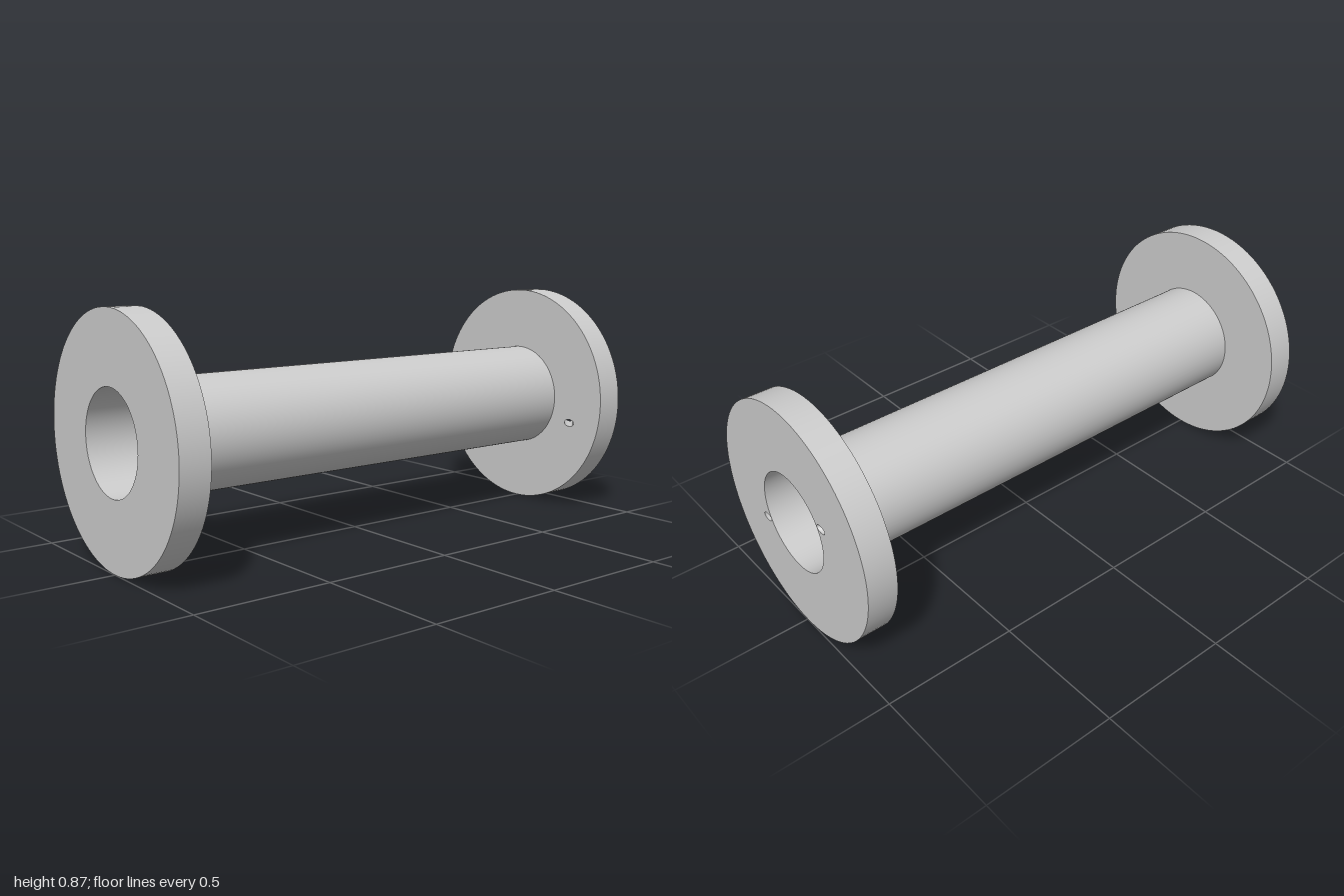
import * as THREE from 'three';

const R = 0.437, TUBE = 0.2, BORE = 0.183;   // radii
const END = 1, INNER = 0.89;                 // flange outer and inner faces along x
const HOLE_Y = 0.0915, HOLE_OUT = 0.187, HOLE_IN = 0.28, HOLE_RZ = 0.024, HOLE_RY = 0.014;

export function createModel() {
  const model = new THREE.Group();
  const spool = new THREE.Group();
  spool.name = 'spool';
  spool.position.y = R;
  model.add(spool);
  const mat = new THREE.MeshStandardMaterial({ color: 0xcccccc });

  const add = (name, geo, material = mat) => {
    const mesh = new THREE.Mesh(geo, material);
    mesh.name = name;
    spool.add(mesh);
  };

  // One smooth straight wall around the x axis, from x0 to x1
  const wall = (name, r, x0, x1) => {
    const geo = new THREE.LatheGeometry([new THREE.Vector2(r, x0), new THREE.Vector2(r, x1)], 96);
    add(name, geo.rotateZ(-Math.PI / 2));
  };

  // Flat ring face at x, facing dir, optionally pierced by the two slanted holes
  const face = (name, x, dir, inner, holeZ) => {
    const shape = new THREE.Shape().absarc(0, 0, R, 0, Math.PI * 2);
    shape.holes.push(new THREE.Path().absarc(0, 0, inner, 0, Math.PI * 2, true));
    if (holeZ) {
      for (const s of [1, -1]) {
        shape.holes.push(new THREE.Path().absellipse(
          s * dir * holeZ, s * HOLE_Y, HOLE_RZ, HOLE_RY, 0, Math.PI * 2, true));
      }
    }
    const geo = new THREE.ShapeGeometry(shape, 48);
    add(name, geo.rotateY(dir * Math.PI / 2).translate(x, 0, 0));
  };

  // Hollow core
  wall('coreTube', TUBE, -INNER, INNER);
  wall('bore', BORE, END, -END);

  // Flanges; only the one at +x is drilled
  wall('leftFlangeRim', R, INNER, END);
  face('leftFlangeOuterFace', END, 1, BORE, HOLE_OUT);
  face('leftFlangeInnerFace', INNER, -1, TUBE, HOLE_IN);
  wall('rightFlangeRim', R, -END, -INNER);
  face('rightFlangeOuterFace', -END, -1, BORE);
  face('rightFlangeInnerFace', -INNER, 1, TUBE);

  // Slanted hole walls: an open cylinder sheared outwards towards the core side
  const holeMat = mat.clone();
  holeMat.side = THREE.BackSide;
  for (const s of [1, -1]) {
    const geo = new THREE.CylinderGeometry(1, 1, END - INNER, 48, 1, true);
    geo.rotateZ(-Math.PI / 2).scale(1, HOLE_RY, HOLE_RZ);
    const p = geo.attributes.position;
    for (let i = 0; i < p.count; i++) {
      const z = p.getX(i) > 0 ? HOLE_OUT : HOLE_IN;
      p.setXYZ(i, p.getX(i) + (END + INNER) / 2, p.getY(i) + s * HOLE_Y, p.getZ(i) - s * z);
    }
    geo.computeVertexNormals();
    add('threadHole', geo, holeMat);
  }
  return model;
}
